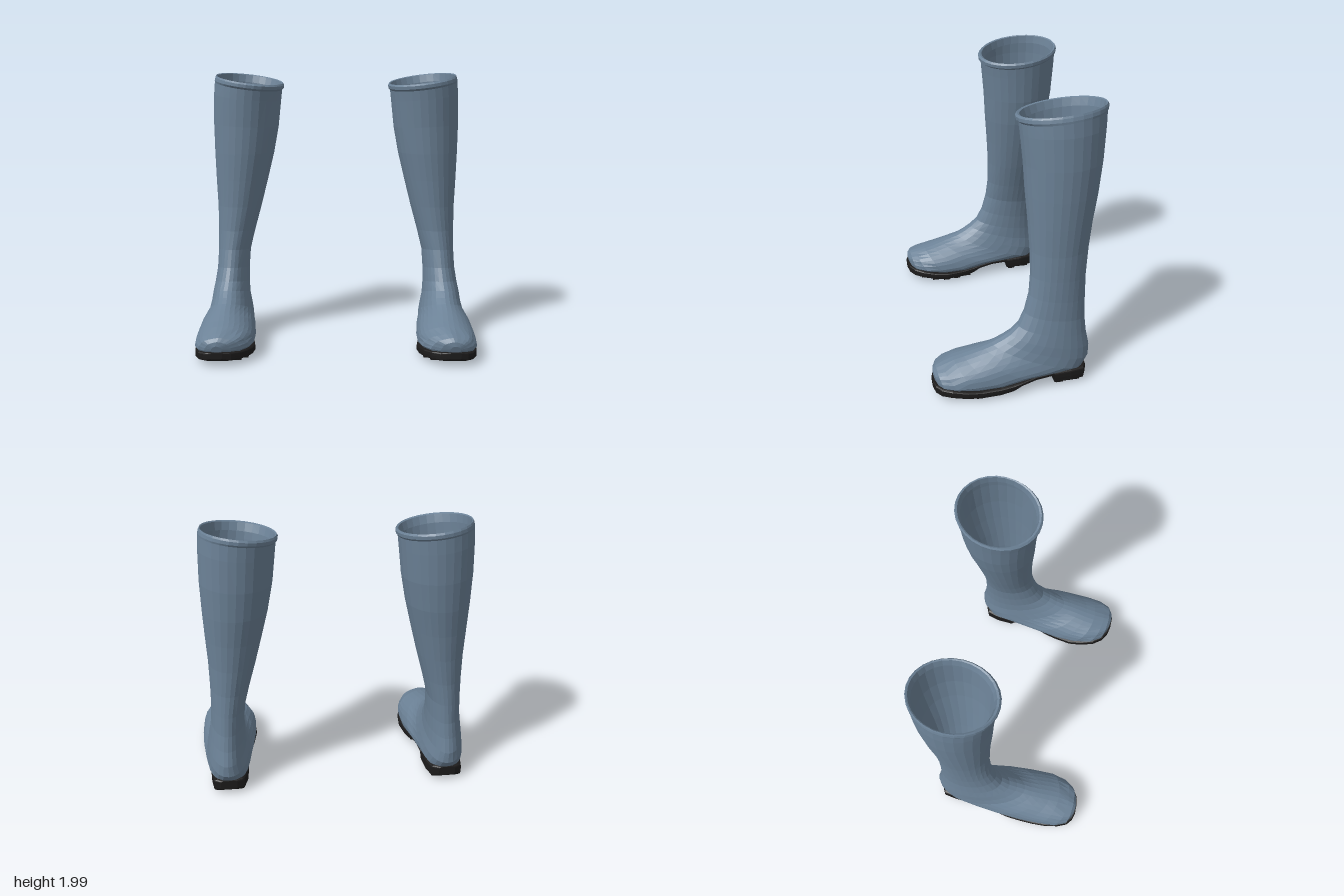
import * as THREE from 'three';

const SIDES = 28;

// One cross-section: an oval spanned between a front/top point and a back/bottom point.
// row = [frontZ, frontY, backZ, backY, innerX, outerX]
function ring(row, { tilt = 0, top = 1, bottom = 1, taper = 0, ripple = 0 } = {}) {
  const [fz, fy, bz, by, x0, x1] = row;
  const points = [];
  for (let j = 0; j < SIDES; j++) {
    const t = (j / SIDES) * Math.PI * 2;
    const c = Math.cos(t), s = Math.sin(t);
    const p = c > 0 ? top : bottom;                 // below 1 squares that half off
    const r = 1 + ripple * Math.cos(7 * t);
    const u = Math.sign(c) * Math.abs(c) ** p * r;
    const v = Math.sign(s) * Math.abs(s) ** p * (1 - taper * u) * r;
    const dx = (v * (x1 - x0)) / 2;
    points.push([
      (x0 + x1) / 2 + dx,
      (fy + by) / 2 + (u * (fy - by)) / 2 + tilt * dx,
      (fz + bz) / 2 + (u * (fz - bz)) / 2,
    ]);
  }
  return points;
}

// Skin a list of rings; side = -1 mirrors across x and keeps the faces outward.
function loft(rings, side, capStart, capEnd) {
  const pos = [], index = [];
  const tri = (a, b, c) => (side > 0 ? index.push(a, b, c) : index.push(a, c, b));
  const add = ([x, y, z]) => pos.push(x * side, y, z) / 3 - 1;
  rings.forEach((r) => r.forEach(add));
  for (let i = 0; i < rings.length - 1; i++) {
    for (let j = 0; j < SIDES; j++) {
      const k = (j + 1) % SIDES;
      const a = i * SIDES + j, b = i * SIDES + k;
      tri(a, a + SIDES, b + SIDES);
      tri(a, b + SIDES, b);
    }
  }
  const cap = (i, start) => {
    const mid = [0, 1, 2].map((n) => rings[i].reduce((sum, p) => sum + p[n], 0) / SIDES);
    const m = add(mid);
    for (let j = 0; j < SIDES; j++) {
      const a = i * SIDES + j, b = i * SIDES + ((j + 1) % SIDES);
      start ? tri(m, a, b) : tri(m, b, a);
    }
  };
  if (capStart) cap(0, true);
  if (capEnd) cap(rings.length - 1, false);
  const g = new THREE.BufferGeometry();
  g.setAttribute('position', new THREE.Float32BufferAttribute(pos, 3));
  g.setIndex(index);
  g.computeVertexNormals();
  return g;
}

// Rolled collar, starting on the inside of the opening
const COLLAR = [
  [-0.05, 1.86, -0.565, 1.92, 0.425, 0.892],
  [-0.03, 1.915, -0.58, 1.975, 0.41, 0.893],
  [-0.015, 1.92, -0.59, 1.98, 0.4, 0.9],
  [-0.003, 1.907, -0.598, 1.967, 0.392, 0.906],
  [-0.005, 1.885, -0.597, 1.945, 0.395, 0.912],
  [-0.022, 1.872, -0.588, 1.932, 0.407, 0.912],
];

// Straight leg of the boot
const SHAFT = [
  [-0.03, 1.8, -0.585, 1.83, 0.416, 0.92],
  [-0.05, 1.6, -0.572, 1.61, 0.437, 0.925],
  [-0.062, 1.4, -0.548, 1.4, 0.472, 0.92],
  [-0.078, 1.2, -0.515, 1.2, 0.52, 0.912],
  [-0.09, 1.0, -0.49, 1.0, 0.57, 0.902],
  [-0.092, 0.82, -0.473, 0.8, 0.622, 0.9],
];

// Ankle and foot: sections swing round the heel and run on to the toe
const FOOT = [
  [-0.078, 0.68, -0.47, 0.63, 0.66, 0.902],
  [-0.045, 0.55, -0.472, 0.48, 0.67, 0.91],
  [0.0, 0.455, -0.485, 0.36, 0.67, 0.927],
  [0.06, 0.4, -0.508, 0.25, 0.664, 0.942],
  [0.12, 0.362, -0.505, 0.165, 0.65, 0.95],
  [0.18, 0.332, -0.46, 0.095, 0.638, 0.96],
  [0.24, 0.31, -0.3, 0.09, 0.628, 0.972],
  [0.31, 0.287, -0.1, 0.09, 0.61, 0.983],
  [0.38, 0.265, 0.1, 0.052, 0.594, 0.99],
  [0.45, 0.245, 0.28, 0.048, 0.592, 0.988],
  [0.53, 0.215, 0.42, 0.06, 0.618, 0.975],
  [0.572, 0.198, 0.52, 0.07, 0.665, 0.945],
  [0.592, 0.175, 0.56, 0.08, 0.725, 0.9],
  [0.595, 0.145, 0.58, 0.1, 0.785, 0.855],
];

// Sole, heel to toe: [z, topY, bottomY, innerX, outerX]
const SOLE = [
  [-0.475, 0.11, 0.04, 0.745, 0.865],
  [-0.45, 0.115, 0.02, 0.69, 0.915],
  [-0.36, 0.115, 0.015, 0.665, 0.93],
  [-0.24, 0.112, 0.02, 0.655, 0.937],
  [-0.215, 0.11, 0.085, 0.652, 0.94],
  [-0.1, 0.107, 0.08, 0.645, 0.957],
  [0.0, 0.09, 0.062, 0.632, 0.978],
  [0.06, 0.082, 0.03, 0.618, 0.987],
  [0.15, 0.075, 0.014, 0.6, 0.995],
  [0.28, 0.072, 0.012, 0.58, 1.0],
  [0.38, 0.08, 0.018, 0.588, 0.998],
  [0.48, 0.095, 0.03, 0.612, 0.982],
  [0.55, 0.1, 0.035, 0.66, 0.953],
  [0.585, 0.1, 0.04, 0.718, 0.91],
  [0.6, 0.1, 0.055, 0.78, 0.86],
];

// Tread lugs: [z, bottomY, innerX, outerX]
const LUGS = [
  [-0.4, 0.008, 0.7, 0.9], [-0.28, 0.008, 0.68, 0.91],
  [0.11, 0.004, 0.64, 0.95], [0.2, 0, 0.62, 0.96],
  [0.29, 0, 0.61, 0.97], [0.38, 0.004, 0.62, 0.96], [0.47, 0.016, 0.66, 0.93],
];

function makeBoot(side, rubber, tread) {
  const boot = new THREE.Group();
  const put = (name, geometry, material) => {
    const mesh = new THREE.Mesh(geometry, material);
    mesh.name = name;
    boot.add(mesh);
  };

  // Collar, shaft and foot form one continuous skin
  const skin = [
    ...COLLAR.map((r) => ring(r, { tilt: 0.13 })),
    ...SHAFT.map((r, i) => ring(r, { tilt: Math.max(0, 0.1 - i * 0.05) })),
    ...FOOT.map((r, i) => {
      const f = Math.min(1, Math.max(0, (i - 3) / 4));
      return ring(r, { bottom: 1 - 0.35 * f, taper: 0.16 * f, ripple: i > 9 && i < 13 ? 0.03 : 0 });
    }),
  ];
  put('bootUpper', loft(skin, side, false, true), rubber);

  // The sole's top face doubles as the insole seen down the shaft
  const sole = SOLE.map(([z, y1, y0, x0, x1]) => ring([z, y1, z, y0, x0, x1], { top: 0.35, bottom: 0.35 }));
  put('sole', loft(sole, side, true, true), tread);

  for (const [z, y0, x0, x1] of LUGS) {
    const width = (x1 - x0) / 2 - 0.02;
    for (const x of [x0 + width / 2, x1 - width / 2]) {
      const lug = new THREE.BoxGeometry(width, 0.03, 0.05);
      lug.translate(x * side, y0 + 0.015, z);
      put('treadLug', lug, tread);
    }
  }
  return boot;
}

export function createModel() {
  const rubber = new THREE.MeshStandardMaterial({ color: 0x6c8297 });
  rubber.name = 'slate blue rubber';
  rubber.flatShading = true;
  rubber.side = THREE.DoubleSide;
  const tread = new THREE.MeshStandardMaterial({ color: 0x1c1b1b });
  tread.name = 'black sole';
  tread.flatShading = true;

  const model = new THREE.Group();
  model.name = 'pairOfBoots';
  for (const [name, side] of [['leftBoot', 1], ['rightBoot', -1]]) {
    const boot = makeBoot(side, rubber, tread);
    boot.name = name;
    model.add(boot);
  }
  return model;
}
